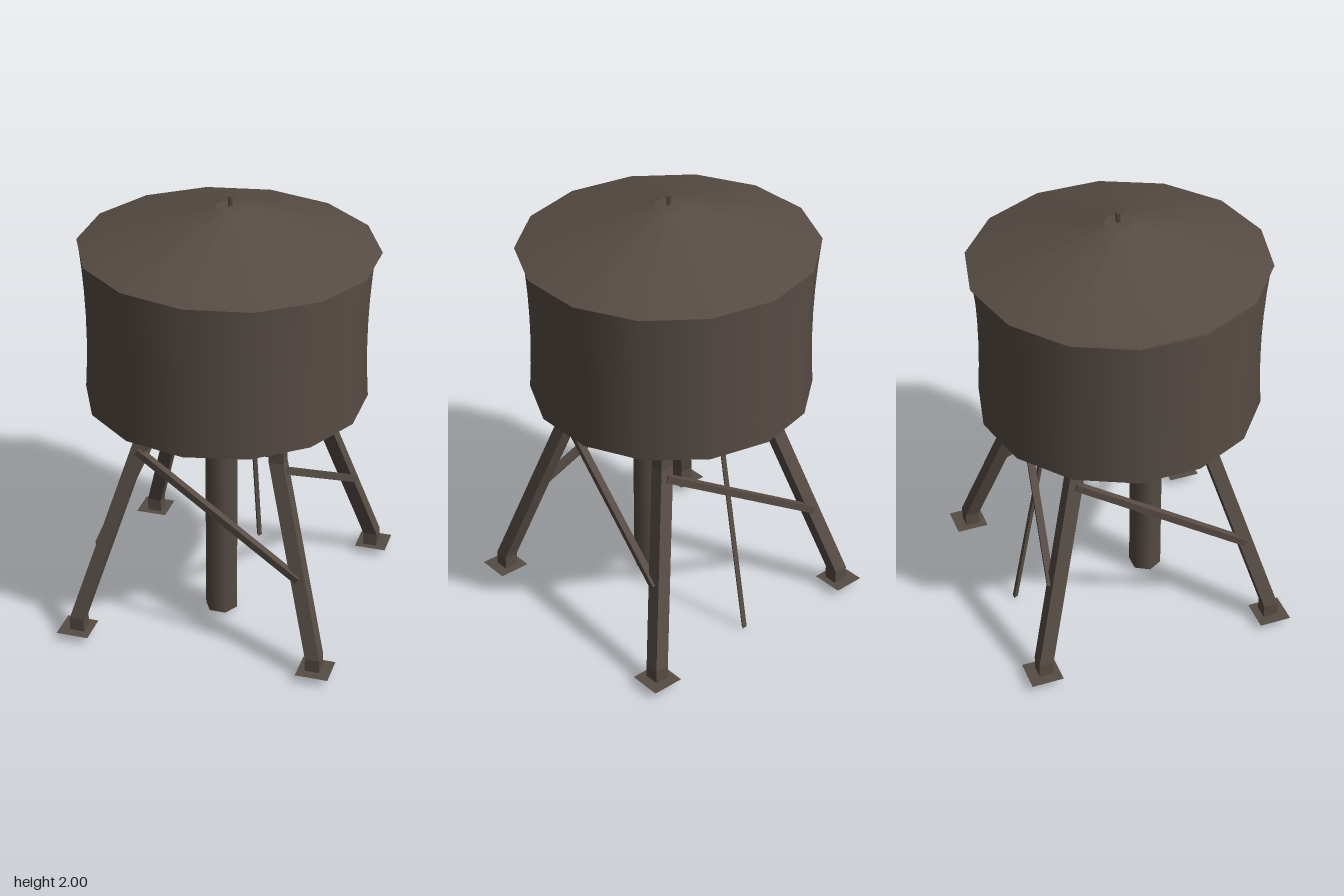
import * as THREE from 'three';

export function createModel() {
  const model = new THREE.Group();
  const brown = new THREE.MeshStandardMaterial({ color: 0x574c45 });
  brown.name = 'weathered brown';
  const brownSheet = brown.clone();
  brownSheet.side = THREE.DoubleSide;

  const add = (name, geometry, material = brown) => {
    const mesh = new THREE.Mesh(geometry, material);
    mesh.name = name;
    model.add(mesh);
    return mesh;
  };

  // Bends a unit-high prism so that each row of vertices is centred on one path point (top first)
  const followPath = (geometry, points) => {
    const pos = geometry.attributes.position;
    const rows = points.length - 1;
    for (let i = 0; i < pos.count; i++) {
      const p = points[Math.round((0.5 - pos.getY(i)) * rows)];
      pos.setXYZ(i, pos.getX(i) + p[0], p[1], pos.getZ(i) + p[2]);
    }
    const flat = geometry.toNonIndexed();
    flat.computeVertexNormals();
    return flat;
  };

  // Straight square bar between two points
  const bar = (name, a, b, width) => {
    const from = new THREE.Vector3(...a), to = new THREE.Vector3(...b);
    const mesh = add(name, new THREE.BoxGeometry(width, width, from.distanceTo(to)));
    mesh.position.copy(from).add(to).multiplyScalar(0.5);
    mesh.lookAt(to);
  };

  // Tank with a slight waist
  const tankGeo = new THREE.CylinderGeometry(1, 1, 0.703, 14, 6);
  const tp = tankGeo.attributes.position;
  for (let i = 0; i < tp.count; i++) {
    const t = tp.getY(i) / 0.703 + 0.5;
    const r = 0.63 - 0.055 * t + 0.07 * t * t;
    tp.setX(i, tp.getX(i) * r);
    tp.setZ(i, tp.getZ(i) * r);
  }
  tankGeo.computeBoundingSphere();
  add('tank', tankGeo).position.set(-0.015, 1.4165, -0.005);

  // Roof, tilted a little
  const roof = add('roof', new THREE.CylinderGeometry(0.06, 0.66, 0.185, 14));
  roof.position.set(0, 1.863, 0);
  roof.rotation.z = -0.018;
  add('finial', new THREE.CylinderGeometry(0.012, 0.012, 0.06, 3))
    .position.set(0.002, 1.97, -0.002);

  // Legs: vertical at head and foot, splayed between; each on a flat plate
  const half = 0.033, lowY = 0.1, highY = 0.925;
  const topX = 0.31, footX = 0.55;
  const topZ = (s) => (s > 0 ? 0.295 : -0.32);
  const footZ = (s) => (s > 0 ? 0.53 : -0.563);
  for (const sx of [-1, 1]) {
    for (const sz of [-1, 1]) {
      add('leg', followPath(new THREE.BoxGeometry(half * 2, 1, half * 2, 1, 3, 1), [
        [sx * topX, 1.065, topZ(sz)],
        [sx * topX, highY, topZ(sz)],
        [sx * footX, lowY, footZ(sz)],
        [sx * footX, 0.038, footZ(sz)],
      ]));
      const plate = add('footPlate', new THREE.PlaneGeometry(0.147, 0.147), brownSheet);
      plate.rotation.x = -Math.PI / 2;
      plate.position.set(sx * 0.558, 0.038, sz > 0 ? 0.535 : -0.573);
    }
  }

  // Beams under the tank joining the leg heads
  for (const s of [-1, 1]) {
    add('crossBeam', new THREE.BoxGeometry(0.56, 0.118, 0.05))
      .position.set(0, 1.005, topZ(s));
    add('sideBeam', new THREE.BoxGeometry(0.05, 0.118, 0.56))
      .position.set(s * topX, 1.005, -0.0125);
  }

  // One diagonal brace per side, set into the outer faces of the legs
  const legAt = (sx, sz, y) => {
    const t = (highY - y) / (highY - lowY);
    return [
      sx * THREE.MathUtils.lerp(topX, footX, t), y,
      THREE.MathUtils.lerp(topZ(sz), footZ(sz), t),
    ];
  };
  const outset = 0.025, braceTop = 0.885, braceLow = 0.435;
  for (const s of [-1, 1]) {
    const a = legAt(-s, s, braceTop), b = legAt(s, s, braceLow);
    a[2] += s * outset;
    b[2] += s * outset;
    bar('frontBackBrace', a, b, 0.032);
    const c = legAt(s, s, braceTop), d = legAt(s, -s, braceLow);
    c[0] += s * outset;
    d[0] += s * outset;
    bar('sideBrace', c, d, 0.032);
  }

  // Six-sided supply pipe
  const pipe = add('supplyPipe', new THREE.CylinderGeometry(0.075, 0.075, 1.05, 6));
  pipe.rotation.y = Math.PI / 6;
  pipe.position.set(0.004, 0.54, 0.135);

  // Thin bent pole hanging behind
  add('rearPole', followPath(new THREE.CylinderGeometry(0.014, 0.014, 1, 3, 2), [
    [-0.005, 1.068, -0.348],
    [-0.005, 0.87, -0.358],
    [-0.005, 0, -0.522],
  ]));

  return model;
}
